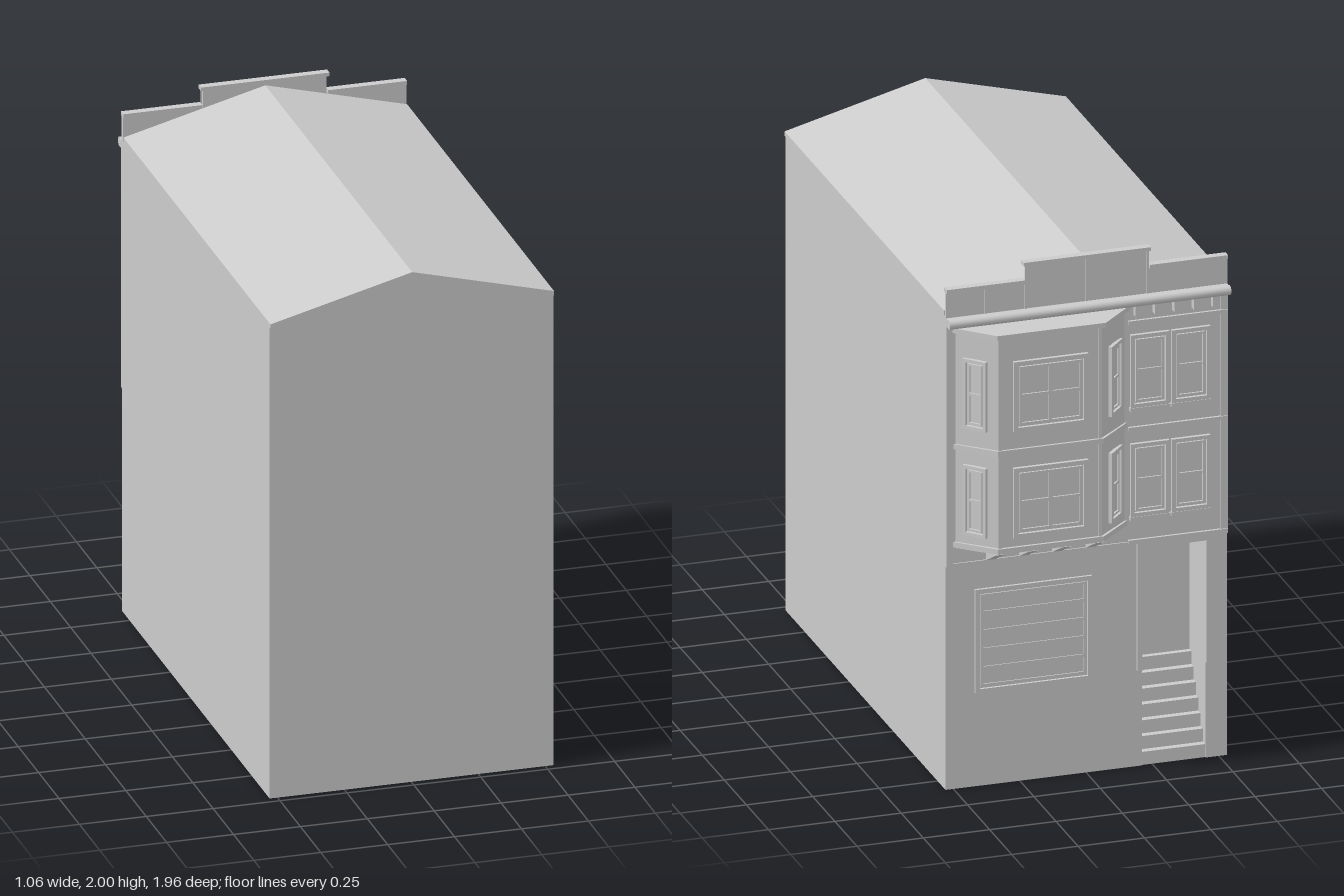
import * as THREE from 'three';

const paint = new THREE.MeshStandardMaterial({ color: 0xcccccc, side: THREE.DoubleSide });
paint.name = 'pale grey';

function add(parent, name, geometry, x = 0, y = 0, z = 0) {
  const mesh = new THREE.Mesh(geometry, paint);
  mesh.name = name;
  mesh.position.set(x, y, z);
  parent.add(mesh);
  return mesh;
}

// box given by its limits on each axis
function block(parent, name, x0, x1, y0, y1, z0, z1) {
  return add(parent, name, new THREE.BoxGeometry(x1 - x0, y1 - y0, z1 - z0),
    (x0 + x1) / 2, (y0 + y1) / 2, (z0 + z1) / 2);
}

function polygon(points) {
  return new THREE.Shape(points.map(([x, y]) => new THREE.Vector2(x, y)));
}

function extrude(points, depth) {
  return new THREE.ExtrudeGeometry(polygon(points), { depth, bevelEnabled: false });
}

// framed panel facing +z: outer casing, inner sash, dividing bars
function framedPanel(name, w, h, cols, rows, bar = 0.016) {
  const g = new THREE.Group();
  g.name = name;
  const ring = (part, rw, rh, t, d) => {
    for (const s of [-1, 1]) {
      add(g, part, new THREE.BoxGeometry(t, rh, d), s * (rw - t) / 2, 0, d / 2);
      add(g, part, new THREE.BoxGeometry(rw - 2 * t, t, d), 0, s * (rh - t) / 2, d / 2);
    }
  };
  ring('casing', w, h, bar, 0.014);
  const iw = w - 2.8 * bar, ih = h - 2.8 * bar;
  ring('sash', iw, ih, bar * 0.6, 0.009);
  add(g, 'pane', new THREE.PlaneGeometry(w, h), 0, 0, 0.002);
  for (let i = 1; i < cols; i++)
    add(g, 'mullion', new THREE.BoxGeometry(bar * 0.8, ih, 0.009), -iw / 2 + iw * i / cols, 0, 0.0045);
  for (let i = 1; i < rows; i++)
    add(g, 'glazingBar', new THREE.BoxGeometry(iw, bar * 0.7, 0.008), 0, -ih / 2 + ih * i / rows, 0.004);
  return g;
}

function place(parent, object, x, y, z, angle = Math.PI) {
  object.position.set(x, y, z);
  object.rotation.y = angle;
  parent.add(object);
}

const W = 0.53, STREET = -0.84, REAR = 0.97, EAVE = 1.825, RIDGE = 1.963;
const DOOR_L = -0.21, DOOR_R = -0.45, DOOR_TOP = 0.84, RECESS = 0.18;

function buildBody(root) {
  const g = new THREE.Group();
  g.name = 'body';
  root.add(g);
  const outline = [[-W, 0], [W, 0], [W, EAVE], [0, RIDGE], [-W, EAVE]];
  add(g, 'rearWall', new THREE.ShapeGeometry(polygon(outline)), 0, 0, REAR);
  for (const s of [-1, 1]) {
    const wall = add(g, 'sideWall', new THREE.PlaneGeometry(REAR - STREET, EAVE),
      s * W, EAVE / 2, (REAR + STREET) / 2);
    wall.rotation.y = s * Math.PI / 2;
  }
  // street wall is cut away for the entry
  const street = [[-W, 0], [DOOR_R, 0], [DOOR_R, DOOR_TOP], [DOOR_L, DOOR_TOP], [DOOR_L, 0], [W, 0], [W, EAVE], [-W, EAVE]];
  const geo = new THREE.ShapeGeometry(polygon(street.map(([x, y]) => [-x, y])));
  geo.rotateY(Math.PI);
  add(g, 'streetWall', geo, 0, 0, STREET);
  block(g, 'upperFacing', -W, W, 0.86, 1.8, STREET - 0.006, STREET);
  // gabled roof slab
  const roof = [[-W, EAVE], [0, RIDGE], [W, EAVE], [W, EAVE + 0.017], [0, RIDGE + 0.017], [-W, EAVE + 0.017]];
  add(g, 'roof', extrude(roof, 1.805), 0, 0, -0.825);
}

function buildEntry(root) {
  const g = new THREE.Group();
  g.name = 'entry';
  root.add(g);
  const back = STREET + RECESS, cx = (DOOR_L + DOOR_R) / 2, w = DOOR_L - DOOR_R;
  for (const x of [DOOR_L, DOOR_R]) {
    const wall = add(g, 'recessWall', new THREE.PlaneGeometry(RECESS, DOOR_TOP), x, DOOR_TOP / 2, STREET + RECESS / 2);
    wall.rotation.y = x === DOOR_L ? -Math.PI / 2 : Math.PI / 2;
  }
  const end = add(g, 'door', new THREE.PlaneGeometry(w, DOOR_TOP), cx, DOOR_TOP / 2, back);
  end.rotation.y = Math.PI;
  const ceiling = add(g, 'recessCeiling', new THREE.PlaneGeometry(w, RECESS), cx, DOOR_TOP, STREET + RECESS / 2);
  ceiling.rotation.x = Math.PI / 2;
  // steps climbing inward
  const n = 7;
  for (let i = 0; i < n; i++)
    block(g, 'step', DOOR_R, DOOR_L, i * 0.05, (i + 1) * 0.05, STREET + 0.005 + i * RECESS / n, back);
  // door trim
  for (const x of [DOOR_L, DOOR_R - 0.02]) block(g, 'doorTrim', x, x + 0.02, 0.37, 0.86, STREET - 0.008, STREET);
  block(g, 'doorLintel', DOOR_R, DOOR_L, DOOR_TOP, 0.86, STREET - 0.008, STREET);
}

function buildBay(root) {
  const g = new THREE.Group();
  g.name = 'bayWindow';
  root.add(g);
  const ring = (name, off, y0, y1) => {
    const geo = extrude([[-0.15 - off, 0.84], [-0.02 - off * 0.45, 0.957 + off],
      [0.37 + off * 0.45, 0.957 + off], [0.5 + off, 0.84]], y1 - y0);
    geo.rotateX(-Math.PI / 2);
    add(g, name, geo, 0, y0, 0);
  };
  ring('bayWalls', 0, 0.93, 1.77);
  ring('bayBaseTrim', 0.01, 0.935, 0.955);
  ring('bayMiddleTrim', 0.009, 1.312, 1.332);
  ring('bayTopTrim', 0.02, 1.763, 1.782);
  const tilt = Math.atan2(0.117, 0.13);
  for (const y of [1.125, 1.535]) {
    place(g, framedPanel('bayFrontWindow', 0.28, 0.27, 2, 2), 0.175, y, -0.957);
    for (const s of [-1, 1])
      place(g, framedPanel('baySideWindow', 0.095, 0.27, 1, 2, 0.013), 0.175 + s * 0.26, y, -0.8985,
        Math.PI - s * (Math.PI / 2 - tilt));
  }
  // strips along the front corners
  for (const x of [-0.018, 0.358]) block(g, 'cornerStrip', x, x + 0.01, 0.955, 1.763, -0.962, -0.957);
  // wedge brackets below
  const profile = [[0.84, 0.865], [0.96, 0.93], [0.84, 0.93]];
  for (let i = 0; i < 4; i++) {
    const geo = extrude(profile, 0.035);
    geo.rotateY(Math.PI / 2);
    add(g, 'bracket', geo, -0.03 + i * 0.125, 0, 0);
  }
}

function buildFacade(root) {
  const g = new THREE.Group();
  g.name = 'facadeDetails';
  root.add(g);
  const face = STREET - 0.006;
  // paired windows beside the bay
  for (const y of [1.11, 1.53])
    for (const x of [-0.235, -0.39]) {
      place(g, framedPanel('flatWindow', 0.145, 0.28, 1, 2, 0.014), x, y, face);
      block(g, 'windowSill', x - 0.075, x + 0.075, y - 0.155, y - 0.14, face - 0.016, face);
    }
  for (const y of [0.865, 1.3, 1.71]) block(g, 'belt', -W, -0.155, y, y + 0.014, face - 0.01, face);
  block(g, 'lowerBelt', -W, W, 0.86, 0.872, face - 0.005, face);
  for (const x of [-W, W - 0.025]) block(g, 'cornerBoard', x, x + 0.025, 0.87, 1.79, face - 0.006, face);
  // garage door
  place(g, framedPanel('garageDoor', 0.44, 0.4, 1, 5, 0.016), 0.2, 0.56, STREET + 0.004);
  // cornice with brackets
  const roll = add(g, 'corniceRoll', new THREE.CylinderGeometry(0.018, 0.018, 2 * W, 16), 0, 1.806, -0.875);
  roll.rotation.z = Math.PI / 2;
  block(g, 'corniceShelf', -W, W, 1.79, 1.82, -0.875, STREET);
  for (let i = 0; i < 5; i++) {
    const x = -0.49 + i * 0.073;
    block(g, 'corniceBracket', x, x + 0.022, 1.745, 1.792, -0.873, face);
  }
  // stepped parapet with caps
  block(g, 'parapet', -W, W, 1.8, 1.92, -0.846, -0.832);
  block(g, 'parapetCentre', -0.23, 0.23, 1.92, 1.99, -0.846, -0.832);
  block(g, 'centreCap', -0.24, 0.24, 1.986, 2, -0.855, -0.825);
  for (const s of [-1, 1]) {
    const cap = block(g, 'sideCap', 0.235, W, 1.917, 1.932, -0.855, -0.825);
    cap.position.x *= s;
  }
  for (const x of [-0.38, -0.23, 0, 0.23, 0.38])
    block(g, 'parapetRib', x - 0.004, x + 0.004, 1.82, Math.abs(x) < 0.3 ? 1.986 : 1.917, -0.849, -0.846);
}

export function createModel() {
  const root = new THREE.Group();
  root.name = 'townhouse';
  buildBody(root);
  buildEntry(root);
  buildBay(root);
  buildFacade(root);
  return root;
}
